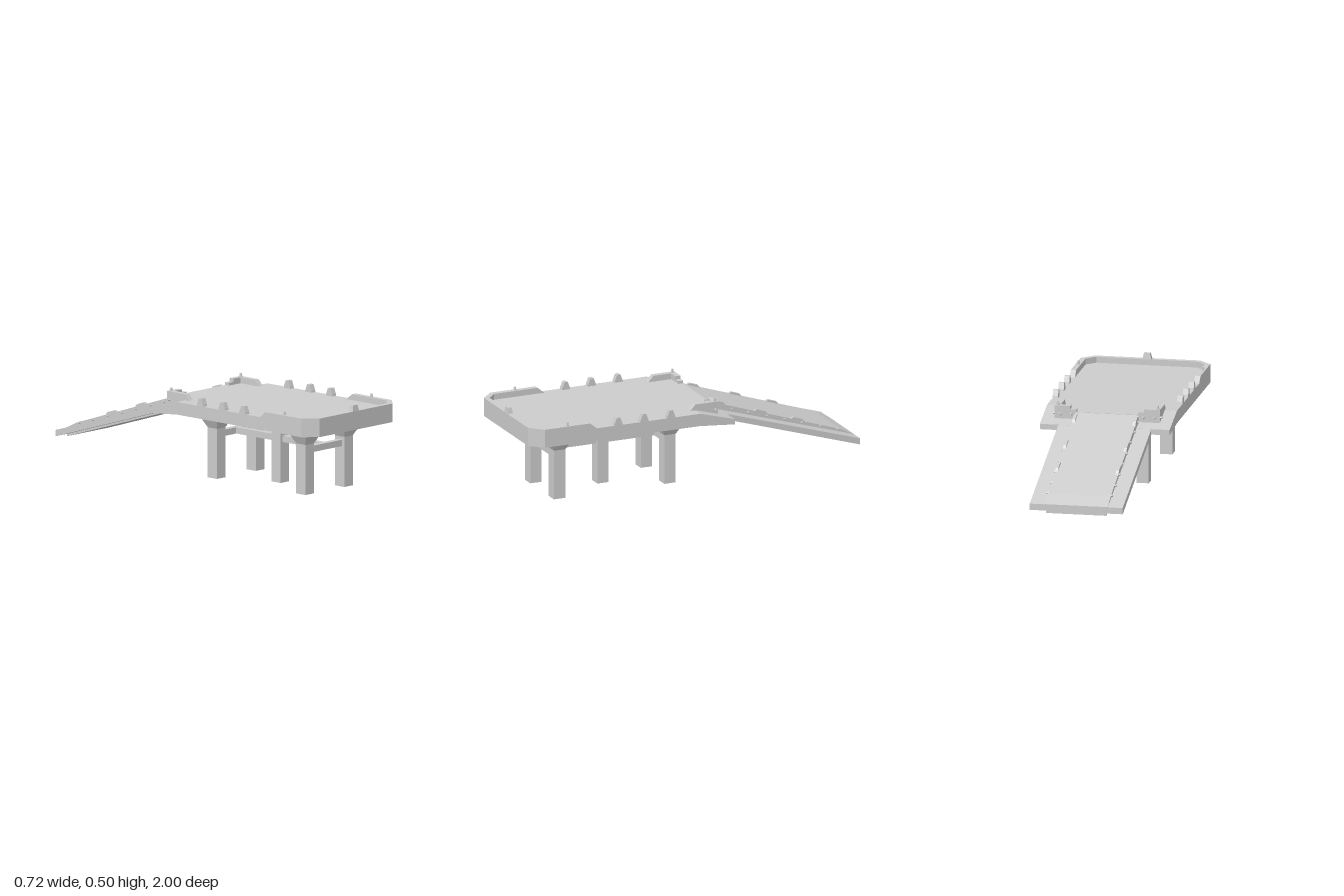
import * as THREE from 'three';

const material = new THREE.MeshStandardMaterial({ color: 0xcccccc, flatShading: true });

export function createModel() {
  const model = new THREE.Group();

  const add = (name, geometry, x = 0, y = 0, z = 0) => {
    const mesh = new THREE.Mesh(geometry, material);
    mesh.name = name;
    mesh.position.set(x, y, z);
    model.add(mesh);
    return mesh;
  };
  const shapeOf = pts => new THREE.Shape(pts.map(([a, b]) => new THREE.Vector2(a, -b)));
  // Plan outline [x, z] raised from y0 to y1
  const plan = (name, pts, y0, y1) => add(name,
    new THREE.ExtrudeGeometry(shapeOf(pts), { depth: y1 - y0, bevelEnabled: false }).rotateX(-Math.PI / 2), 0, y0, 0);
  // Side outline [z, y] carried from x0 to x1
  const side = (name, pts, x0, x1) => {
    const shape = new THREE.Shape(pts.map(([z, y]) => new THREE.Vector2(-z, y)));
    return add(name, new THREE.ExtrudeGeometry(shape, { depth: x1 - x0, bevelEnabled: false }).rotateY(Math.PI / 2), x0, 0, 0);
  };
  const box = (name, x0, x1, y0, y1, z0, z1) => add(name,
    new THREE.BoxGeometry(x1 - x0, y1 - y0, z1 - z0), (x0 + x1) / 2, (y0 + y1) / 2, (z0 + z1) / 2);
  // Square frustum with half sizes at bottom and top
  const frustum = (name, bottom, top, h, x, y, z) => add(name,
    new THREE.CylinderGeometry(top * Math.SQRT2, bottom * Math.SQRT2, h, 4).rotateY(Math.PI / 4), x, y + h / 2, z);
  const mirrored = (x0, x1, s) => s > 0 ? [x0, x1] : [-x1, -x0];

  // Deck
  plan('deck', [[-0.36, 0], [-0.36, 0.93], [-0.29, 1], [0.29, 1], [0.36, 0.93], [0.36, 0]], 0.363, 0.433);
  side('deckRear', [[0, 0.363], [0, 0.433], [-0.135, 0.433], [-0.135, 0.357]], -0.29, 0.29);
  side('rearApron', [[0, 0.363], [0, 0.433], [-0.205, 0.375], [-0.205, 0.345], [-0.03, 0.36]], -0.36, 0.36);

  // Raised rim round the front
  plan('frontRim', [[-0.36, 0.66], [-0.36, 0.93], [-0.29, 1], [0.29, 1], [0.36, 0.93], [0.36, 0.66],
    [0.33, 0.66], [0.33, 0.92], [0.28, 0.97], [-0.28, 0.97], [-0.33, 0.92], [-0.33, 0.66]], 0.433, 0.466);
  const post = frustum('frontPost', 0.025, 0.017, 0.034, 0, 0.465, 0.984);
  post.scale.z = 0.62;

  for (const s of [1, -1]) {
    side('rimEnd', [[0.66, 0.433], [0.66, 0.466], [0.62, 0.433]], ...mirrored(0.33, 0.36, s));

    // Edge teeth
    for (const z of [0.175, 0.335, 0.49]) {
      side('edgeTooth', [[z - 0.025, 0.432], [z - 0.022, 0.445], [z - 0.01, 0.476],
        [z + 0.01, 0.476], [z + 0.022, 0.445], [z + 0.025, 0.432]], ...mirrored(0.33, 0.36, s));
    }

    // Corner brackets beside the ramp
    side('bracketArm', [[0.03, 0.432], [0, 0.466], [-0.135, 0.466], [-0.135, 0.375], [0, 0.375]], ...mirrored(0.262, 0.292, s));
    const sx = mirrored(0.205, 0.29, s);
    box('bracketBack', sx[0], sx[1], 0.375, 0.466, -0.137, -0.107);
    plan('bracketSlope', [[0.17 * s, -0.137], [0.205 * s, -0.137], [0.205 * s, -0.107], [0.17 * s, -0.107]], 0.375, 0.448);

    // Bolts
    const bolt = (x, y, z) => add('bolt', new THREE.CylinderGeometry(0.006, 0.01, 0.02, 6), x * s, y, z);
    bolt(0.345, 0.475, 0.79);
    bolt(0.277, 0.475, -0.12);
    bolt(0.292, 0.42, -0.12).rotation.z = -s * Math.PI / 2;
    for (const x of [0.2, 0.26]) bolt(x, 0.42, -0.142).rotation.x = -Math.PI / 2;
    for (const z of [-0.17, -0.27, -0.37, -0.48, -0.585, -0.69, -0.8, -0.9]) {
      bolt(0.173, 0.413 + (z + 0.135) * 0.32, z).rotation.z = -s * Math.PI / 2;
    }

    // Low ridges along the ramp edge
    for (const z of [-0.15, -0.4, -0.62]) {
      const y = d => 0.433 + (z - d + 0.135) * 0.335;
      side('rampRidge', [[z, y(0) - 0.006], [z - 0.02, y(0.02) + 0.01],
        [z - 0.07, y(0.07) + 0.01], [z - 0.09, y(0.09) - 0.006]], ...mirrored(0.16, 0.176, s));
    }
  }

  // Ramp: wide slab, raised roadway, and underside panels
  side('rampSlab', [[-0.19, 0.379], [-1, 0.128], [-1, 0.093], [-0.19, 0.346]], -0.258, 0.258);
  side('rampRoadway', [[-0.13, 0.433], [-0.92, 0.168], [-1, 0.129], [-1, 0.11], [-0.13, 0.37]], -0.175, 0.175);
  side('rampUnderPanel', [[-0.2, 0.35], [-1, 0.1], [-1, 0.08], [-0.2, 0.333]], -0.168, 0.168);
  side('hingePlate', [[0, 0.365], [-0.025, 0.333], [-0.39, 0.28], [-0.4, 0.3], [-0.2, 0.36]], -0.105, 0.105);

  // Five pillars with flared heads
  for (const [x, z] of [[-0.155, 0.765], [0.155, 0.765], [0, 0.435], [-0.155, 0.105], [0.155, 0.105]]) {
    box('pillar', x - 0.034, x + 0.034, 0, 0.278, z - 0.034, z + 0.034);
    frustum('pillarFlare', 0.034, 0.068, 0.067, x, 0.278, z);
    box('pillarHead', x - 0.068, x + 0.068, 0.345, 0.364, z - 0.068, z + 0.068);
  }

  // Bracing beams between the pillars
  for (const z of [0.765, 0.105]) box('crossBeam', -0.125, 0.125, 0.225, 0.26, z - 0.017, z + 0.017);
  box('spineBeam', -0.017, 0.017, 0.225, 0.26, 0.105, 0.765);

  return model;
}
